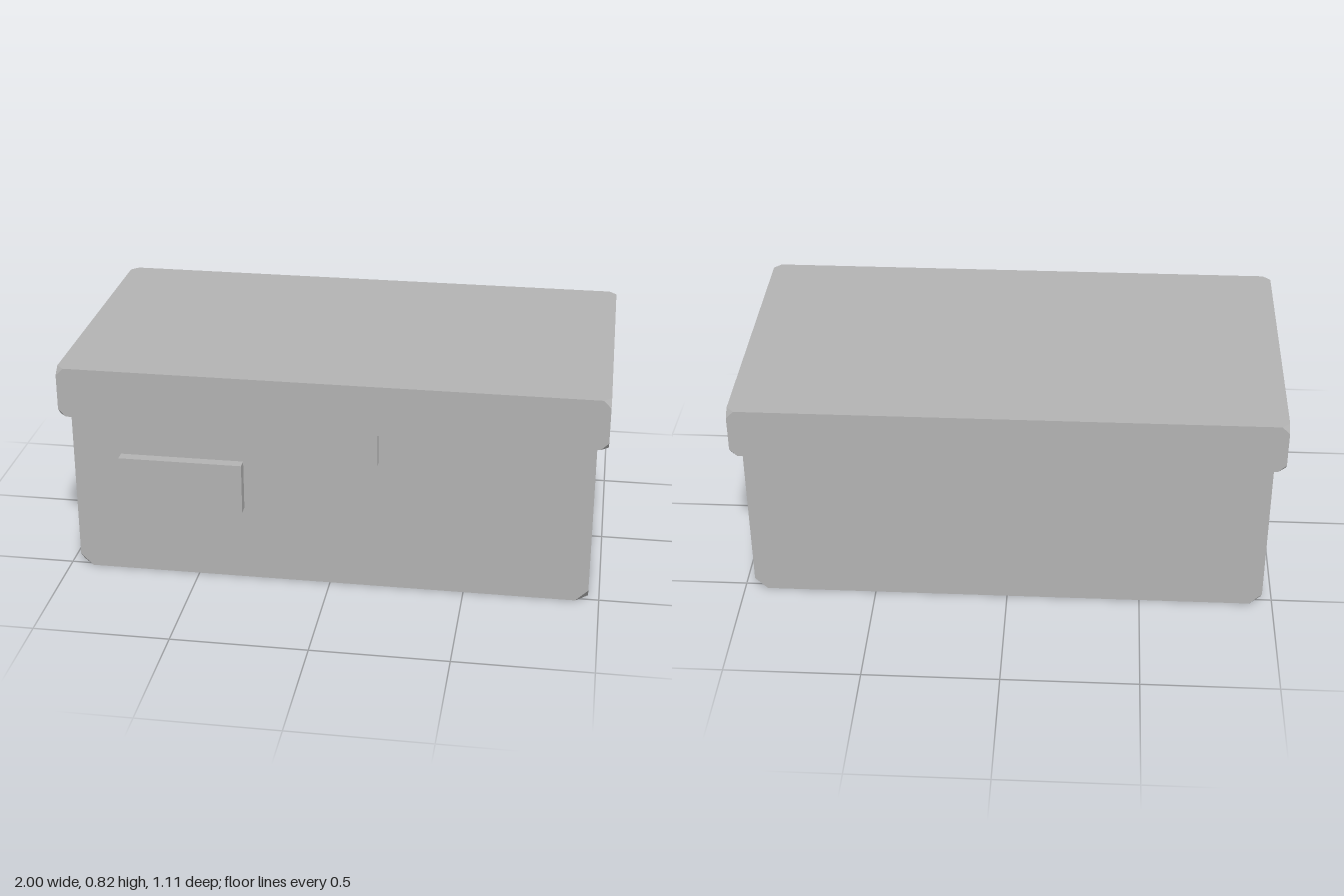
import * as THREE from 'three';
import { ConvexGeometry } from 'three/addons/geometries/ConvexGeometry.js';

// Box from min to max with its corners sliced off; the top corners can stay sharp
function cutCornerBox(min, max, cut, cutTop) {
  const points = [];
  for (const sx of [0, 1]) for (const sy of [0, 1]) for (const sz of [0, 1]) {
    const side = [sx, sy, sz];
    const corner = side.map((s, i) => (s ? max[i] : min[i]));
    if (sy && !cutTop) {
      points.push(new THREE.Vector3(...corner));
      continue;
    }
    for (let axis = 0; axis < 3; axis++) {
      const p = [...corner];
      p[axis] += side[axis] ? -cut : cut;
      points.push(new THREE.Vector3(...p));
    }
  }
  return new ConvexGeometry(points);
}

function plainBox(min, max) {
  const size = max.map((v, i) => v - min[i]);
  const mid = max.map((v, i) => (v + min[i]) / 2);
  return new THREE.BoxGeometry(...size).translate(...mid);
}

export function createModel() {
  const group = new THREE.Group();
  const grey = new THREE.MeshStandardMaterial({ color: 0xb3b3b3 });
  grey.name = 'plain grey';

  const add = (name, geometry) => {
    const mesh = new THREE.Mesh(geometry, grey);
    mesh.name = name;
    group.add(mesh);
  };

  // Container with chipped bottom corners, running up into the lid
  add('body', cutCornerBox([-0.96, 0, -0.525], [0.96, 0.66, 0.515], 0.046, false));
  // Overhanging lid, chipped at all eight corners
  add('lid', cutCornerBox([-1, 0.63, -0.555], [1, 0.82, 0.543], 0.028, true));
  // Tab hanging flush from the lid's front
  add('lidTab', plainBox([-0.18, 0.51, 0.51], [0.18, 0.63, 0.543]));
  // Raised label plate on the front
  add('labelPlate', plainBox([-0.78, 0.29, 0.51], [-0.32, 0.48, 0.555]));

  return group;
}
